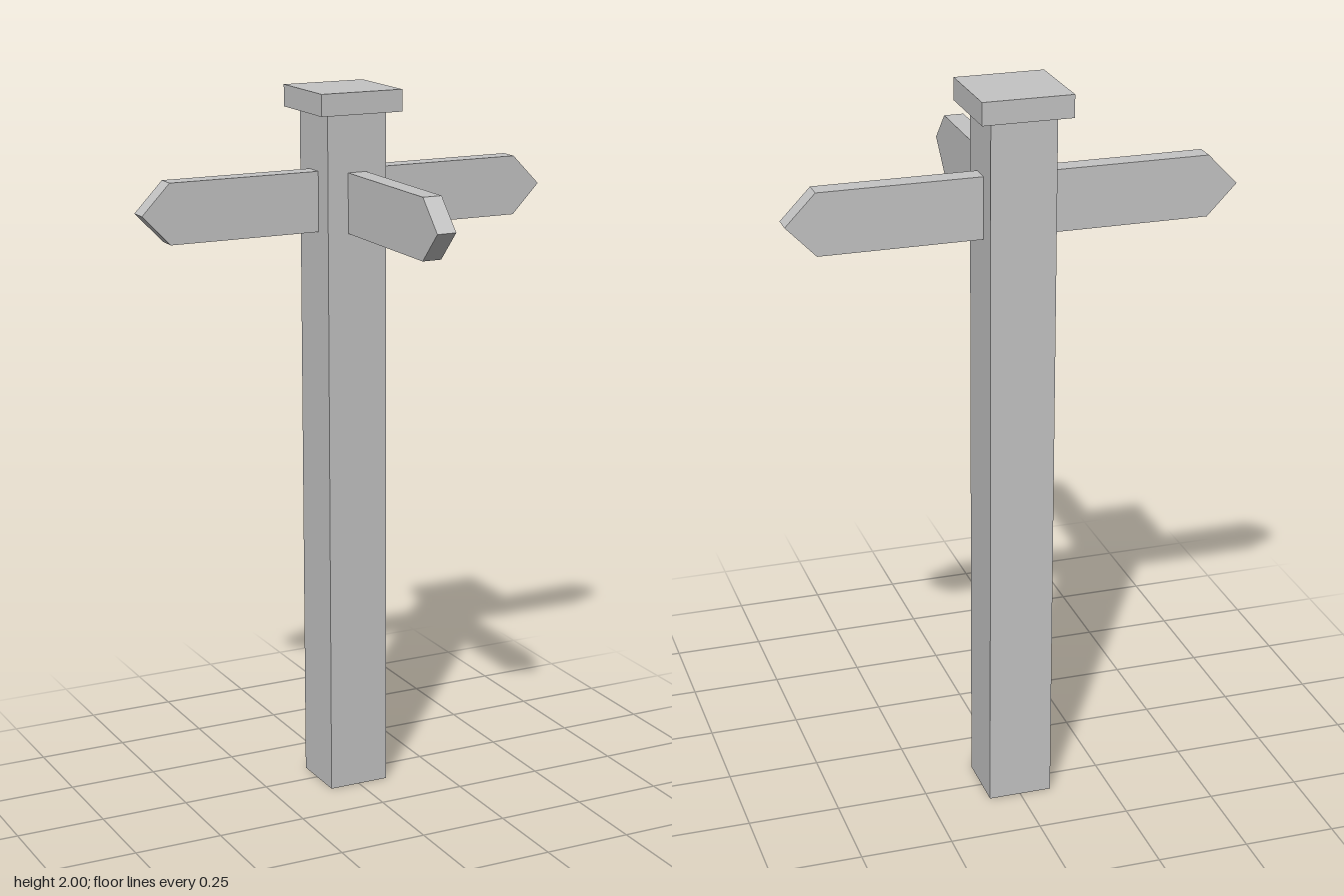
import * as THREE from 'three';

const CENTRE_Z = -0.24;

// Box with chosen faces left out (order: +x, -x, +y, -y, +z, -z)
function openBox(w, h, d, omitted) {
  const geometry = new THREE.BoxGeometry(w, h, d);
  const index = Array.from(geometry.index.array);
  geometry.setIndex(index.filter((_, i) => !omitted.includes(Math.floor(i / 6))));
  geometry.clearGroups();
  return geometry;
}

export function createModel() {
  const model = new THREE.Group();
  model.name = 'signpost';
  const grey = new THREE.MeshStandardMaterial({ color: 0xc4c4c4, side: THREE.DoubleSide });
  grey.name = 'plain grey';

  function add(name, geometry, y) {
    const mesh = new THREE.Mesh(geometry, grey);
    mesh.name = name;
    mesh.position.set(0, y, CENTRE_Z);
    model.add(mesh);
    return mesh;
  }

  // Hollow post, open at both ends, and a cap open underneath
  add('post', openBox(0.175, 1.94, 0.175, [2, 3]), 0.97);
  add('cap', openBox(0.24, 0.06, 0.24, [3]), 1.97);

  // Pointed sign board, running outward from the post face along +x
  const outline = new THREE.Shape([
    [0.085, -0.083], [0.52, -0.083], [0.6, 0], [0.52, 0.083], [0.085, 0.083],
  ].map(([x, y]) => new THREE.Vector2(x, y)));
  const board = new THREE.ExtrudeGeometry(outline, { depth: 0.054, bevelEnabled: false });
  board.translate(0, 0, -0.027);

  // Three boards: left, right and front
  const turns = { leftSign: 0, rightSign: Math.PI, frontSign: -Math.PI / 2 };
  for (const [name, turn] of Object.entries(turns)) {
    add(name, board, 1.697).rotation.y = turn;
  }

  return model;
}
